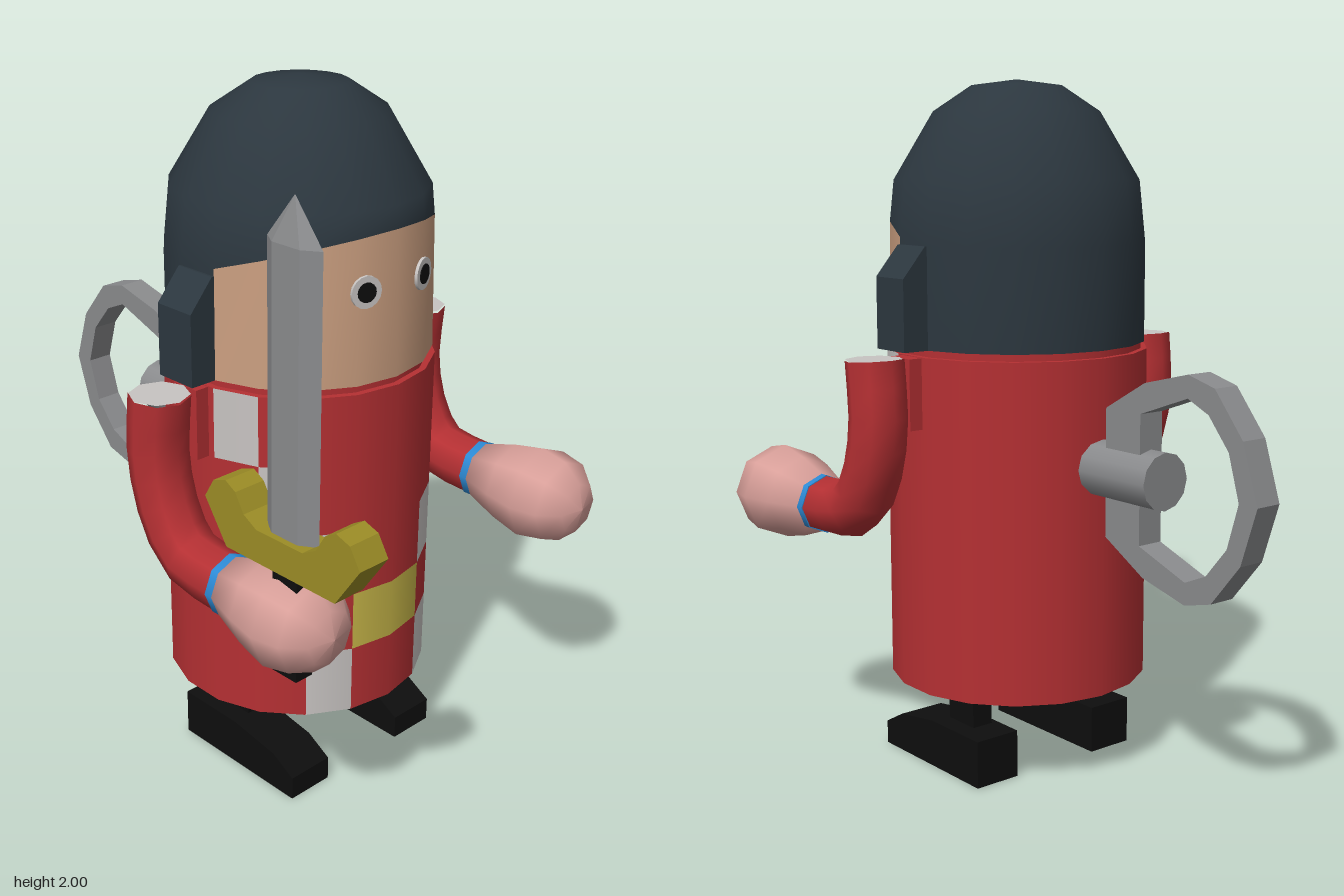
import * as THREE from 'three';
import { mergeGeometries, mergeVertices } from 'three/addons/utils/BufferGeometryUtils.js';

const mat = (name, color, side = THREE.FrontSide) => {
  const m = new THREE.MeshStandardMaterial({ color, side });
  m.name = name;
  return m;
};
const STEP = Math.PI / 9; // the body and head have 18 sides
const CZ = 0.105;         // z of the body axis

// Head profile: [radius, height]
const HEAD = [[0.372, 1.26], [0.372, 1.55], [0.354, 1.72], [0.24, 1.91], [0.13, 1.983], [0, 2]];
function headRadius(y) {
  for (let i = 1; i < HEAD.length; i++) {
    const [r0, y0] = HEAD[i - 1], [r1, y1] = HEAD[i];
    if (y <= y1) return r0 + (r1 - r0) * (y - y0) / (y1 - y0);
  }
  return 0;
}
// Lower helmet edge, highest above the face
const brow = a => 1.545 + 0.115 * Math.max(0, Math.cos(a));

// Part of the head between two column numbers, with rows given as heights for each angle
function headPatch(c0, c1, rowsAt) {
  const pos = [], index = [];
  const n = rowsAt(0).length;
  for (let c = c0; c <= c1; c++) {
    const a = c * STEP;
    for (const y of rowsAt(a)) {
      const r = headRadius(y);
      pos.push(r * Math.sin(a), y, CZ + r * Math.cos(a));
    }
  }
  for (let c = 0; c < c1 - c0; c++) {
    for (let k = 0; k < n - 1; k++) {
      const p = c * n + k, q = p + n;
      index.push(p, q, q + 1, p, q + 1, p + 1);
    }
  }
  const g = new THREE.BufferGeometry();
  g.setAttribute('position', new THREE.Float32BufferAttribute(pos, 3));
  g.setIndex(index);
  return g;
}
function smooth(...parts) {
  const g = mergeVertices(mergeGeometries(parts), 1e-4);
  g.computeVertexNormals();
  return g;
}

// Side profile of [z, y] points, extruded along x about x = 0
function sidePlate(points, width, hole) {
  const shape = new THREE.Shape(points.map(p => new THREE.Vector2(...p)));
  if (hole) shape.holes.push(new THREE.Path(hole.map(p => new THREE.Vector2(...p))));
  return new THREE.ExtrudeGeometry(shape, { depth: width, bevelEnabled: false })
    .translate(0, 0, -width / 2).rotateY(-Math.PI / 2);
}
// Closes a half outline by mirroring it about y = cy
const mirrorY = (half, cy) => [...half, ...half.filter(p => p[1] !== cy).reverse().map(([z, y]) => [z, 2 * cy - y])];

export function createModel() {
  const M = {
    red: mat('tunic red', 0xb53033),
    light: mat('pale grey', 0xc8c4c2),
    yellow: mat('buckle yellow', 0xc6b548),
    gold: mat('guard gold', 0x9c8d26),
    face: mat('face skin', 0xcb9f80),
    hand: mat('hand pink', 0xd9a09a),
    blue: mat('cuff blue', 0x2d8bd6),
    helmet: mat('helmet slate', 0x2c373f),
    black: mat('black', 0x0e0e0e),
    steel: mat('steel grey', 0x8a8b8d),
  };
  const model = new THREE.Group();
  model.name = 'windUpKnight';
  const add = (name, geo, material, x = 0, y = 0, z = 0, parent = model) => {
    const m = new THREE.Mesh(geo, material);
    m.name = name;
    m.position.set(x, y, z);
    parent.add(m);
    return m;
  };

  // Tunic: rows of wall panels, coloured by distance from the middle front
  const rows = [
    { y0: 0.27, y1: 0.47, light: 1 }, { y0: 0.47, y1: 0.645, yellow: 0 },
    { y0: 0.645, y1: 0.84, light: 1 }, { y0: 0.84, y1: 1.04, light: 2 },
    { y0: 1.04, y1: 1.24, light: 3 },
  ];
  const panels = { red: [], light: [], yellow: [] };
  for (const row of rows) {
    for (let c = -9; c < 9; c++) {
      const d = c < 0 ? -1 - c : c;
      const key = d === row.light ? 'light' : d === row.yellow ? 'yellow' : 'red';
      panels[key].push(new THREE.CylinderGeometry(0.38, 0.38, row.y1 - row.y0, 1, 1, true, c * STEP, STEP)
        .translate(0, (row.y0 + row.y1) / 2, CZ));
    }
  }
  add('tunicWall', mergeGeometries(panels.red), M.red);
  add('tunicChecks', mergeGeometries(panels.light), M.light);
  add('beltBuckle', mergeGeometries(panels.yellow), M.yellow);
  const disc = () => new THREE.CircleGeometry(0.38, 18).rotateZ(Math.PI / 2);
  add('tunicTop', disc().rotateX(-Math.PI / 2), M.red, 0, 1.24, CZ);
  add('tunicBottom', disc().rotateX(Math.PI / 2), M.red, 0, 0.27, CZ);
  add('neck', new THREE.CylinderGeometry(0.362, 0.362, 0.03, 18), M.red, 0, 1.25, CZ);

  // Head: face in front, helmet over the top and round the back
  const low = a => [1.26, brow(a)];
  add('face', smooth(headPatch(-4, 4, low)), M.face);
  add('helmet', smooth(
    headPatch(4, 14, low),
    headPatch(-9, 9, a => [brow(a), 1.72, 1.91, 1.983, 2])), M.helmet);

  for (const s of [1, -1]) {
    const side = s > 0 ? 'left' : 'right';

    // Eye
    const eye = new THREE.Group();
    eye.name = side + 'Eye';
    eye.position.set(0, 1.515, CZ);
    eye.rotation.y = s * 0.295;
    model.add(eye);
    const eyeDisc = r => new THREE.CylinderGeometry(r, r, 0.008, 16).rotateX(Math.PI / 2);
    add('eyeWhite', eyeDisc(0.044), M.light, 0, 0, 0.37, eye);
    add('pupil', eyeDisc(0.027), M.black, 0, 0, 0.373, eye);

    // Cheek flap
    const flap = new THREE.Shape([[0.3, 1.26], [0.445, 1.26], [0.445, 1.46], [0.372, 1.545], [0.3, 1.545]]
      .map(([x, y]) => new THREE.Vector2(s * x, y)));
    add(side + 'CheekFlap', new THREE.ExtrudeGeometry(flap, { depth: 0.13, bevelEnabled: false }), M.helmet, 0, 0, 0.04);

    // Arm with shoulder peg, cuff and fist
    const arm = new THREE.Group();
    arm.name = side + 'Arm';
    arm.position.x = s * 0.5;
    model.add(arm);
    add('shoulderPeg', new THREE.BoxGeometry(0.06, 0.2, 0.09), M.red, -s * 0.115, 1.138, 0.105, arm);
    const path = new THREE.CatmullRomCurve3([[1.24, 0.103], [1.06, 0.091], [0.91, 0.13], [0.81, 0.21], [0.79, 0.375]]
      .map(([y, z]) => new THREE.Vector3(0, y, z)));
    add('sleeve', new THREE.TubeGeometry(path, 8, 0.083, 8), M.red, 0, 0, 0, arm);
    add('sleeveTop', new THREE.CircleGeometry(0.082, 8).rotateX(-Math.PI / 2), M.light, 0, 1.241, 0.103, arm);
    add('cuff', new THREE.CylinderGeometry(0.086, 0.086, 0.03, 8).rotateX(Math.PI / 2), M.blue, 0, 0.79, 0.383, arm);
    const fist = [[0, 0.39], [0.085, 0.39], [0.12, 0.5], [0.141, 0.6], [0.125, 0.68], [0.075, 0.735], [0, 0.752]];
    add('fist', new THREE.LatheGeometry(fist.map(p => new THREE.Vector2(...p)), 8).rotateX(Math.PI / 2),
      M.hand, 0, 0.79, 0, arm);

    // Leg and shoe
    add(side + 'Leg', sidePlate([[0.025, 0.13], [0.14, 0.13], [0.15, 0.275], [0.03, 0.275]].map(([z, y]) => [z, y]), 0.067),
      M.black, s * 0.198, 0, 0);
    add(side + 'Shoe', sidePlate([[-0.07, 0], [0.39, 0], [0.39, 0.07], [0.31, 0.115], [0.15, 0.14], [-0.07, 0.14]], 0.145),
      M.black, s * 0.217, 0, 0);
  }

  // Sword: six-sided blade, curled guard and grip
  const sword = new THREE.Group();
  sword.name = 'sword';
  sword.position.set(-0.516, 0, 0.62);
  model.add(sword);
  const bladePart = (top, y0, y1) => new THREE.CylinderGeometry(top, 1, y1 - y0, 6)
    .scale(0.034, 1, 0.09).translate(0, (y0 + y1) / 2, 0).toNonIndexed();
  const blade = mergeGeometries([bladePart(1, 1, 1.77), bladePart(0.02, 1.77, 1.88)]);
  blade.computeVertexNormals();
  add('blade', blade, M.steel, 0, 0, 0, sword);
  const curl = [[0.08, 1.035], [0.125, 1.06], [0.155, 1.11], [0.19, 1.13], [0.235, 1.115], [0.268, 1.06], [0.19, 0.945]];
  const guard = [...curl, ...curl.slice().reverse().map(([z, y]) => [-z, y])];
  add('guard', sidePlate(guard, 0.095), M.gold, 0, 0, 0, sword);
  add('grip', new THREE.BoxGeometry(0.056, 0.305, 0.085), M.black, 0, 0.797, 0, sword);

  // Wind-up key on the back
  add('keyShaft', new THREE.CylinderGeometry(0.08, 0.08, 0.26, 12).rotateX(Math.PI / 2), M.steel, 0, 0.935, -0.392);
  const outer = [[-0.33, 1.115], [-0.48, 1.2], [-0.64, 1.24], [-0.735, 1.215], [-0.835, 1.095], [-0.888, 0.935]];
  const inner = [[-0.465, 1.115], [-0.64, 1.178], [-0.715, 1.145], [-0.787, 1.06], [-0.825, 0.935]];
  add('keyLoop', sidePlate(mirrorY(outer, 0.935), 0.08, mirrorY(inner, 0.935)), M.steel);

  return model;
}
